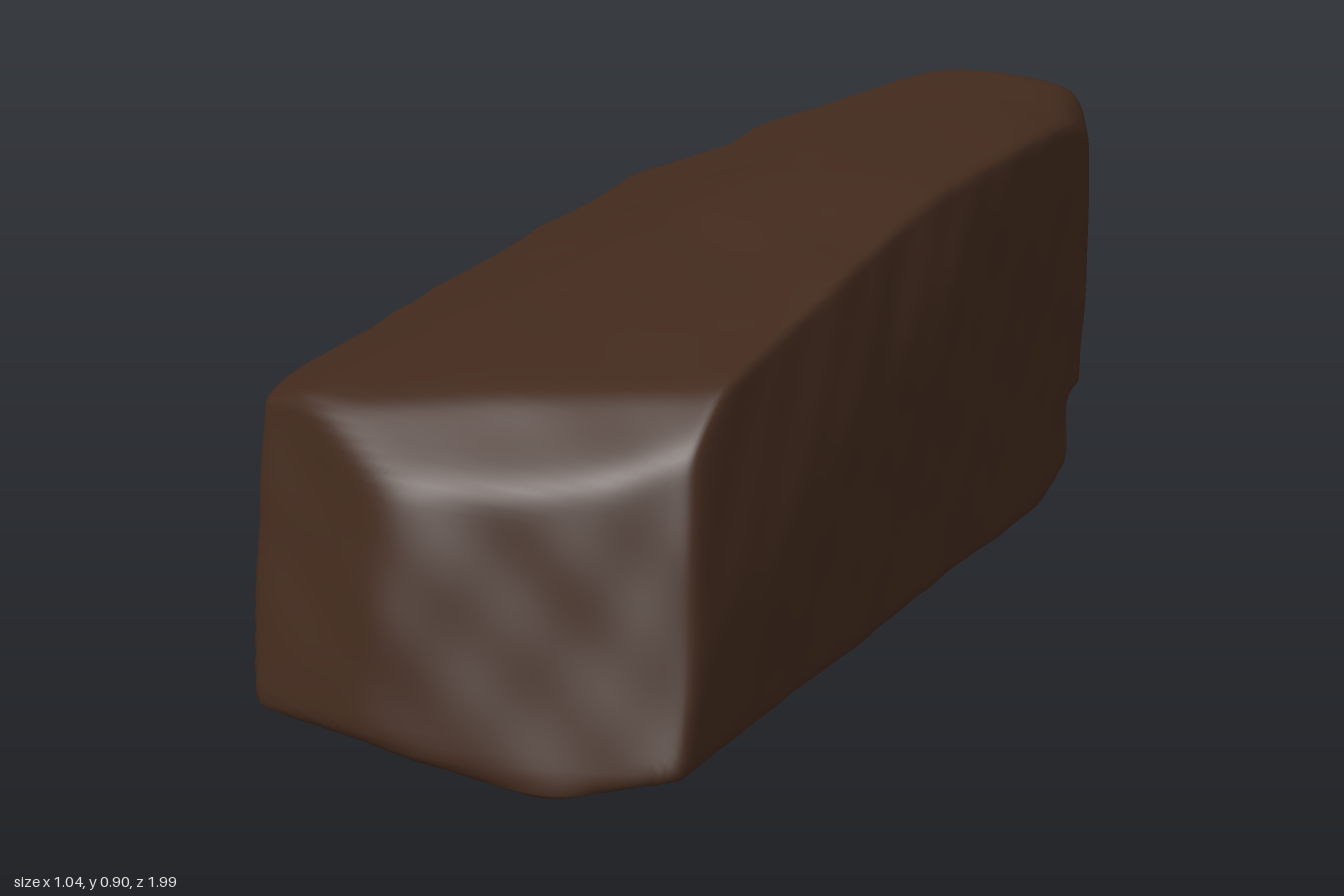
import * as THREE from 'three';
import { mergeVertices } from 'three/addons/utils/BufferGeometryUtils.js';

// Each facet [a, b, c, d] keeps the space where a*x + b*y + c*z <= d.
const shared = [
  // top facets
  [-0.06, 1, 0.24, 0.78], [-0.02, 1, 0.09, 0.815], [-0.3, 1, 0.075, 0.805],
  [-0.35, 1, 0.116, 0.785], [0.14, 1, 0, 0.935], [1, 1, -0.4, 1.62],
  // front facets and the bevel above them
  [0.22, 0.3, 1, 1.018], [-0.25, 0.3, 1, 1.045], [0.5, 0.45, 1, 1.165], [0.12, 1.4, 1, 1.56],
  // flank on +x
  [1, 0.06, 0, 0.528], [1, 0.25, 0.09, 0.643],
];
const underside = [
  // sole, its worn edges and its rear corners
  [0, -1, -0.03, -0.024], [0.3, -1, 0, 0.085], [0, -1, 0.5, 0.465],
  [-0.6, -1, -0.5, 0.29], [0.5, -1, -0.4, 0.41],
];
const mainBlock = [
  ...shared, ...underside,
  // flank on -x
  [-1, -0.34, -0.03, 0.325], [-1, 0, -0.06, 0.482], [-1, 0, 0.35, 0.725],
  // back
  [0, 0, -1, 0.7], [-0.5, 0, -1, 0.685],
];
const footing = [
  ...shared, ...underside,
  // notch wall and back below the overhang
  [-1, 0, 0, 0.265], [0, 0, -1, 0.7], [-0.9, 0, -1, 0.9],
];
const backOverhang = [
  ...shared,
  // notch wall
  [-1, 0, 0, 0.265],
  // back facets in plan
  [-0.9, 0, -1, 0.91], [-0.5, 0, -1, 0.913], [0.3, 0, -1, 1.073], [1.5, 0, -1, 1.53],
  // base, undercut, back wall and upper bevel
  [0, -1, 0, -0.24], [0, -1, -0.25, -0.085], [0, -1, -1.8, 1.295], [0, -0.1, -1, 0.93], [0, 1, -1.9, 2.66],
];
const blocks = [mainBlock, footing, backOverhang];

const core = new THREE.Vector3(0.05, 0.42, -0.1);

// Distance from the core to a faceted block along dir, with slightly worn edges
function reach(facets, dir) {
  const P = 80;
  const s = facets.map(([a, b, c, d]) =>
    Math.max(0, (a * dir.x + b * dir.y + c * dir.z) / (d - a * core.x - b * core.y - c * core.z)));
  const m = Math.max(...s);
  return 1 / (m * Math.pow(s.reduce((t, v) => t + Math.pow(v / m, P), 0), 1 / P));
}

// Gentle weathering of the surface
function weather(p) {
  return 0.005 * Math.sin(7 * p.x + 5 * p.z + 1) * Math.sin(8 * p.y - 4 * p.z)
    + 0.004 * Math.sin(17 * p.z + 6 * p.y) * Math.sin(13 * p.x + 9 * p.y + 2)
    + 0.002 * Math.sin(31 * p.z - 19 * p.x) * Math.sin(29 * p.y + 11 * p.z);
}

export function createModel() {
  const group = new THREE.Group();
  group.name = 'rock';
  const brown = new THREE.MeshStandardMaterial({ color: 0x41291c });
  brown.name = 'dark brown stone';

  // Dense box whose vertices are moved radially onto the joined blocks
  let geo = new THREE.BoxGeometry(1.04, 0.88, 2, 52, 44, 100);
  geo.deleteAttribute('uv');
  geo.deleteAttribute('normal');
  geo = mergeVertices(geo, 1e-4);
  const pos = geo.attributes.position;
  const p = new THREE.Vector3();
  const dir = new THREE.Vector3();
  for (let i = 0; i < pos.count; i++) {
    p.fromBufferAttribute(pos, i);
    p.y += 0.44;
    dir.copy(p).sub(core).normalize();
    const r = Math.max(...blocks.map((facets) => reach(facets, dir)));
    p.copy(core).addScaledVector(dir, r);
    p.addScaledVector(dir, weather(p));
    pos.setXYZ(i, p.x, p.y, p.z);
  }
  geo.computeVertexNormals();

  const mesh = new THREE.Mesh(geo, brown);
  mesh.name = 'boulder';
  group.add(mesh);
  return group;
}
